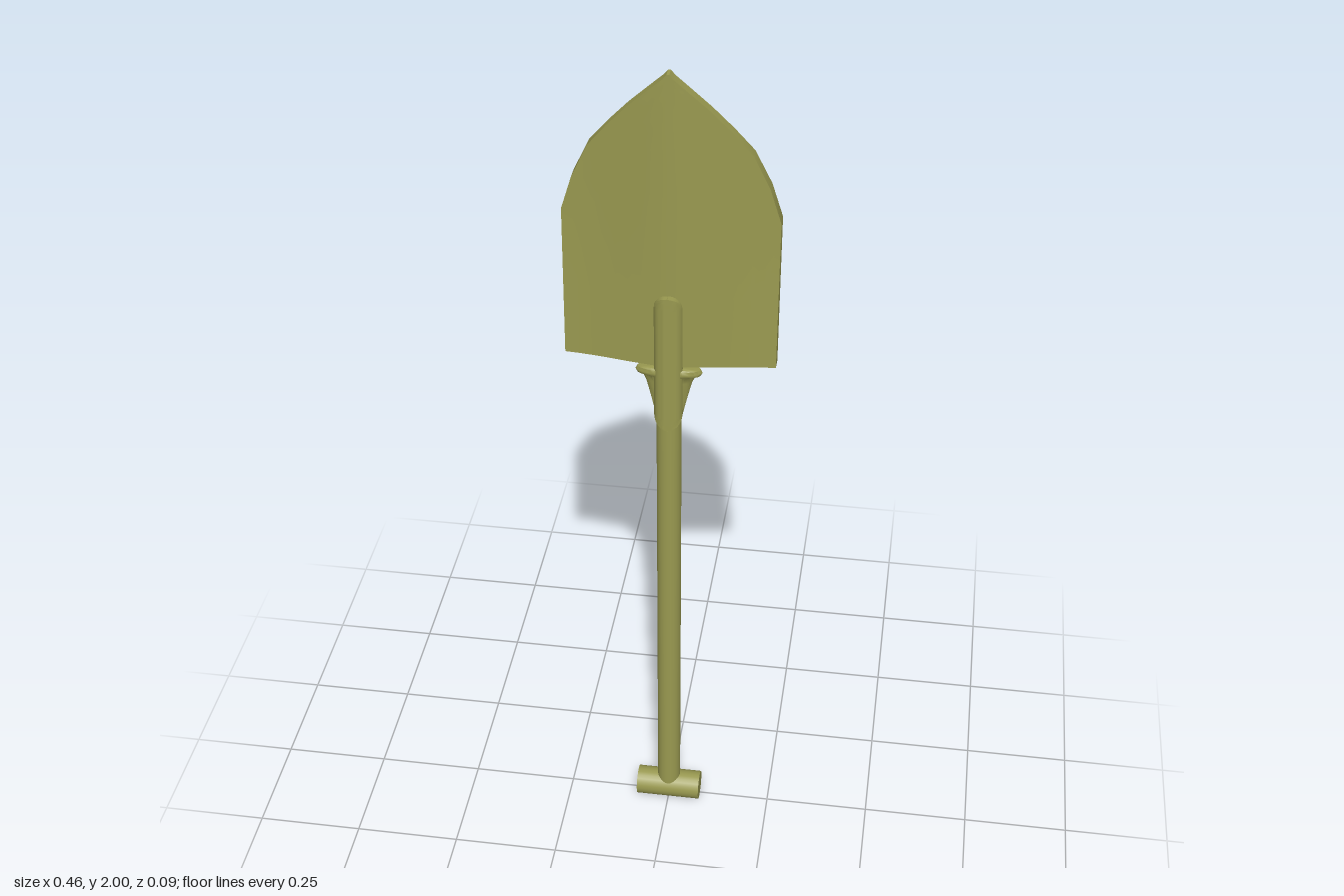
import * as THREE from 'three';
import { toCreasedNormals } from 'three/addons/utils/BufferGeometryUtils.js';

const olive = new THREE.MeshStandardMaterial({ color: 0x999950 });
const AXIS_Z = 0.009;

function addPart(group, name, geometry) {
  const mesh = new THREE.Mesh(geometry, olive);
  mesh.name = name;
  group.add(mesh);
  return mesh;
}

// Linear lookup in a list of [key, value] pairs sorted by key
function lerpTable(table, key) {
  for (let i = 1; i < table.length; i++) {
    const [k0, v0] = table[i - 1], [k1, v1] = table[i];
    if (key <= k1) return v0 + ((v1 - v0) * (key - k0)) / (k1 - k0);
  }
  return table[table.length - 1][1];
}

// Pointed blade: a thin box whose rows follow the outline, bowed backwards at the sides
function bladeGeometry() {
  const rows = [[1.31, 0.232], [1.48, 0.232], [1.662, 0.232], [1.74, 0.208], [1.818, 0.172],
    [1.87, 0.13], [1.92, 0.085], [1.965, 0.038], [1.99, 0.011], [2.0, 0.003]];
  const front = [[0, 0.026], [0.02, 0.025], [0.08, 0.014], [0.16, -0.003], [0.2, -0.009], [0.232, -0.012]];
  const back = [[0, 0.001], [0.02, 0], [0.08, -0.009], [0.16, -0.028], [0.2, -0.04], [0.232, -0.045]];
  const n = rows.length - 1;
  const geo = new THREE.BoxGeometry(2, n, 2, 16, n, 1);
  const p = geo.attributes.position;
  for (let i = 0; i < p.count; i++) {
    const [y, halfWidth] = rows[Math.round(p.getY(i) + n / 2)];
    const x = p.getX(i) * halfWidth;
    const bow = 0.8 + 0.2 * Math.min(1, (y - 1.31) / 0.35);
    const side = p.getZ(i) > 0 ? front : back;
    const z0 = side[0][1];
    p.setXYZ(i, x, y, z0 + (lerpTable(side, Math.abs(x)) - z0) * bow);
  }
  return toCreasedNormals(geo, 0.6);
}

// Rounded strap: a bowed plate with round ends and a rim running down to the shaft axis
function strapGeometry(bottom, top, depth) {
  const r = 0.031, arc = 6, cols = 12;
  const rows = [];
  for (let k = 0; k <= arc; k++) {
    const a = (k / arc) * Math.PI / 2;
    rows.push([top - r * (1 - Math.cos(a)), Math.max(0.0005, r * Math.sin(a))]);
  }
  for (let k = arc; k >= 0; k--) rows.push([bottom + top - rows[k][0], rows[k][1]]);
  // The arc starts at the crown, so the width grows with the sine and y falls with the cosine
  const geo = new THREE.PlaneGeometry(1, 1, cols, rows.length - 1);
  const p = geo.attributes.position;
  for (let i = 0; i < p.count; i++) {
    const c = i % (cols + 1);
    const [y, w] = rows[Math.floor(i / (cols + 1))];
    const u = THREE.MathUtils.clamp((c - cols / 2) / (cols / 2 - 1), -1, 1);
    const x = u * w;
    const rim = c === 0 || c === cols;
    p.setXYZ(i, x, y, rim ? 0 : depth * Math.sqrt(1 - (x / 0.035) ** 2));
  }
  return toCreasedNormals(geo, 0.7);
}

export function createModel() {
  const group = new THREE.Group();
  group.name = 'shovel';

  addPart(group, 'blade', bladeGeometry());

  // Straight shaft
  const shaft = addPart(group, 'shaft', new THREE.CylinderGeometry(0.028, 0.028, 1.27, 24));
  shaft.position.set(0, 0.04 + 1.27 / 2, AXIS_Z);

  // Cross grip at the foot
  const grip = addPart(group, 'crossGrip', new THREE.CylinderGeometry(0.035, 0.035, 0.156, 24));
  grip.rotation.z = Math.PI / 2;
  grip.position.set(0, 0.035, AXIS_Z);

  // Flattened collar flaring into two side lugs
  const profile = [[0.026, 1.15], [0.031, 1.18], [0.041, 1.225], [0.051, 1.265], [0.058, 1.28],
    [0.07, 1.284], [0.074, 1.291], [0.07, 1.299], [0.06, 1.302], [0, 1.302]]
    .map(([x, y]) => new THREE.Vector2(x, y));
  const collarGeo = new THREE.LatheGeometry(profile, 28);
  collarGeo.scale(1, 1, 0.3);
  const collar = addPart(group, 'collar', toCreasedNormals(collarGeo, 0.7));
  collar.position.z = AXIS_Z;

  // Straps clasping the blade on both faces
  const frontStrap = addPart(group, 'frontStrap', strapGeometry(1.15, 1.49, 0.032));
  frontStrap.position.z = AXIS_Z;
  const backStrap = addPart(group, 'backStrap', strapGeometry(1.21, 1.49, 0.035));
  backStrap.rotation.y = Math.PI;
  backStrap.position.z = AXIS_Z;

  return group;
}
